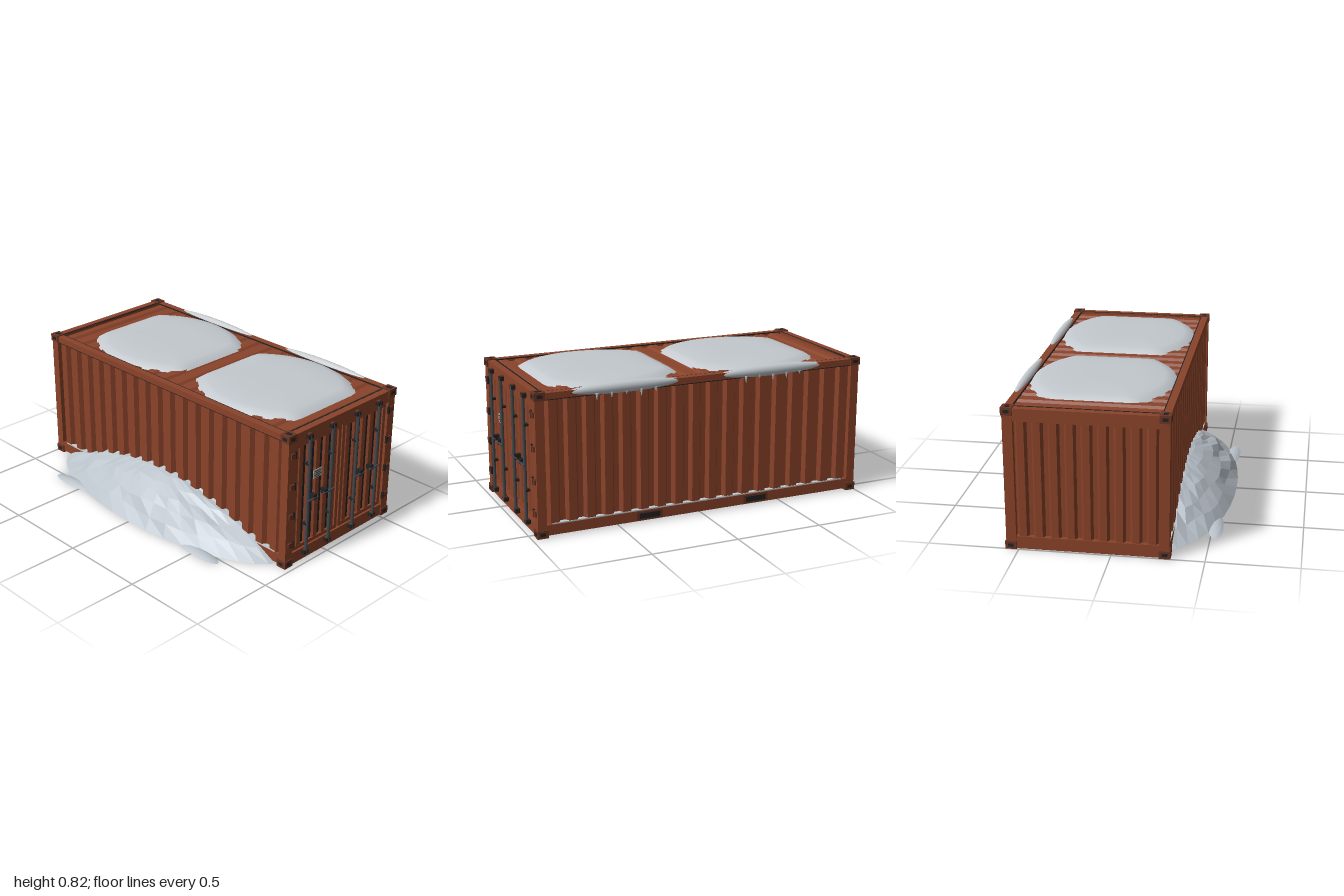
import * as THREE from 'three';

const mat = (color, opts = {}) => new THREE.MeshStandardMaterial({ color, ...opts });
const rust = mat(0x8a432a);
const rustDark = mat(0x6b3524);
const seal = mat(0x232223);
const steel = mat(0x43474b);
const plateGrey = mat(0xa9aaa2);
const snow = mat(0xc3c9ce, { side: THREE.DoubleSide });
const snowFlat = mat(0xb9c1c9, { side: THREE.DoubleSide, flatShading: true });

function add(parent, name, geometry, material, x = 0, y = 0, z = 0) {
  const mesh = new THREE.Mesh(geometry, material);
  mesh.name = name;
  mesh.position.set(x, y, z);
  parent.add(mesh);
  return mesh;
}
const box = (parent, name, m, w, h, d, x, y, z) =>
  add(parent, name, new THREE.BoxGeometry(w, h, d), m, x, y, z);

// Trapezoid-ribbed sheet: ribs repeat along x, stick out to +y, run along z; centred
function corrugated(length, run, count, depth, thick = 0.008) {
  const p = length / count, s = new THREE.Shape();
  s.moveTo(-length / 2, -depth - thick);
  s.lineTo(length / 2, -depth - thick);
  for (let i = count - 1; i >= 0; i--) {
    const u = -length / 2 + i * p;
    s.lineTo(u + p, -depth);
    s.lineTo(u + p * 0.86, -depth);
    s.lineTo(u + p * 0.72, 0);
    s.lineTo(u + p * 0.28, 0);
    s.lineTo(u + p * 0.14, -depth);
    s.lineTo(u, -depth);
  }
  return new THREE.ExtrudeGeometry(s, { depth: run, bevelEnabled: false }).translate(0, 0, -run / 2);
}
// Upright sheet turned to face outward along the given heading (0 = back)
const wallSheet = (length, height, count, depth, heading) =>
  corrugated(length, height, count, depth).rotateX(-Math.PI / 2).rotateY(heading);

// Mound made of scaled rings; outline(a) -> [x, z], height(s, a) -> y
function mound(outline, height, rings, segs, capped) {
  const pos = [0, height(0, 0), 0], idx = [];
  for (let r = 1; r <= rings; r++) for (let i = 0; i < segs; i++) {
    const a = (i / segs) * Math.PI * 2, s = r / rings, [x, z] = outline(a, s);
    pos.push(x * s, height(s, a), z * s);
  }
  const at = (r, i) => 1 + (r - 1) * segs + (i % segs);
  for (let i = 0; i < segs; i++) {
    idx.push(0, at(1, i + 1), at(1, i));
    for (let r = 1; r < rings; r++) {
      idx.push(at(r, i), at(r, i + 1), at(r + 1, i));
      idx.push(at(r, i + 1), at(r + 1, i + 1), at(r + 1, i));
    }
    if (capped && i > 0 && i < segs - 1) idx.push(at(rings, 0), at(rings, i), at(rings, i + 1));
  }
  const g = new THREE.BufferGeometry();
  g.setAttribute('position', new THREE.Float32BufferAttribute(pos, 3));
  g.setIndex(idx);
  g.computeVertexNormals();
  return g;
}

function buildFrame(c) {
  for (const sx of [-1, 1]) {
    for (const sz of [-1, 1]) {
      box(c, 'cornerPost', rust, 0.055, 0.72, 0.05, sx * 0.412, 0.4, sz * 0.957);
      for (const y of [0.022, 0.78]) {
        const g = new THREE.Group();
        g.name = 'cornerCasting';
        g.position.set(sx * 0.414, y, sz * 0.956);
        c.add(g);
        box(g, 'castingBlock', rustDark, 0.062, 0.044, 0.062, 0, 0, 0);
        box(g, 'endSlot', seal, 0.03, 0.018, 0.003, 0, 0, sz * 0.031);
        box(g, 'sideSlot', seal, 0.003, 0.018, 0.03, sx * 0.031, 0, 0);
        box(g, 'capSlot', seal, 0.024, 0.003, 0.034, 0, y > 0.4 ? 0.022 : -0.021, 0);
      }
    }
    // Long rails and fork pockets
    box(c, 'bottomSideRail', rust, 0.045, 0.058, 1.87, sx * 0.415, 0.041, 0);
    box(c, 'topSideRail', rust, 0.04, 0.035, 1.87, sx * 0.418, 0.778, 0);
    box(c, 'railShadow', seal, 0.012, 0.005, 1.87, sx * 0.43, 0.758, 0);
    box(c, 'roofSeam', seal, 0.012, 0.006, 1.87, sx * 0.398, 0.792, 0);
    for (const z of [0.335, -0.325]) {
      box(c, 'forkPocketRim', rustDark, 0.006, 0.05, 0.155, sx * 0.437, 0.04, z);
      box(c, 'forkPocket', seal, 0.004, 0.03, 0.125, sx * 0.44, 0.04, z);
    }
  }
  for (const sz of [-1, 1]) {
    box(c, 'endSill', rust, 0.78, 0.07, 0.045, 0, 0.037, sz * 0.955);
    box(c, 'endHeader', rust, 0.78, 0.07, 0.05, 0, 0.761, sz * 0.955);
    box(c, 'headerSeam', seal, 0.78, 0.006, 0.01, 0, 0.794, sz * 0.935);
  }
  box(c, 'floor', mat(0x1b2024), 0.82, 0.02, 1.9, 0, 0.035, 0);
}

function buildWalls(c) {
  for (const sx of [-1, 1])
    add(c, 'sideWall', wallSheet(1.87, 0.7, 18, 0.025, -sx * Math.PI / 2), rust, sx * 0.433, 0.415, 0);
  add(c, 'backWall', wallSheet(0.78, 0.67, 9, 0.022, 0), rust, 0, 0.4, -0.972);
  add(c, 'roof', corrugated(1.88, 0.8, 18, 0.012).rotateY(Math.PI / 2), rust, 0, 0.788, 0);
}

function buildDoors(c) {
  const up = new THREE.CylinderGeometry(0.0095, 0.0095, 0.72, 12);
  const across = new THREE.CylinderGeometry(0.006, 0.006, 0.09, 10).rotateZ(Math.PI / 2);
  for (const s of [-1, 1]) {
    const d = new THREE.Group();
    d.name = s < 0 ? 'rightDoor' : 'leftDoor';
    d.position.x = s * 0.19;
    c.add(d);
    // Gasket, ribbed panel and flat border
    box(d, 'doorGasket', seal, 0.384, 0.66, 0.02, 0, 0.402, 0.95);
    add(d, 'doorPanel', wallSheet(0.34, 0.63, 5, 0.014, Math.PI), rust, 0, 0.402, 0.972);
    for (const k of [-1, 1]) {
      box(d, 'doorStile', rust, 0.022, 0.645, 0.03, k * 0.174, 0.402, 0.958);
      box(d, 'doorRail', rust, 0.37, 0.022, 0.03, 0, 0.402 + k * 0.312, 0.958);
    }
    // Hinges
    for (const y of [0.135, 0.315, 0.495, 0.68]) {
      box(d, 'hingeLeaf', rustDark, 0.034, 0.032, 0.016, s * 0.216, y, 0.982);
      add(d, 'hingePin', new THREE.CylinderGeometry(0.008, 0.008, 0.042, 10), seal, s * 0.198, y, 0.984);
    }
    // Lock rods with end cams, guides and handles
    for (const k of [-1, 1]) {
      const x = s * 0.0055 + k * 0.0925;
      add(d, 'lockRod', up, steel, x, 0.405, 0.996);
      for (const y of [0.052, 0.757]) {
        box(d, 'camKeeper', seal, 0.034, 0.022, 0.026, x, y, 0.99);
        box(d, 'camLug', rustDark, 0.022, 0.034, 0.014, x, y, 0.988);
      }
      for (const y of [0.23, 0.595]) box(d, 'rodGuide', seal, 0.028, 0.012, 0.024, x, y, 0.986);
      add(d, 'lockHandle', across, steel, x - k * 0.025, 0.375, 1.006);
      box(d, 'handleCatch', seal, 0.024, 0.03, 0.034, x - k * 0.047, 0.38, 0.992);
    }
  }
  // Data plate
  box(c, 'dataPlate', plateGrey, 0.068, 0.05, 0.004, -0.193, 0.498, 0.975);
  for (let i = 0; i < 4; i++)
    box(c, 'plateLine', seal, i % 2 ? 0.036 : 0.052, 0.003, 0.002, -0.193, 0.514 - i * 0.011, 0.978);
}

function buildSnow(root) {
  // Roof sheets: an ellipse with its two ends cut straight
  const padOutline = (a) => {
    const x = Math.cos(a), z = Math.sin(a);
    const r = Math.min(1 / Math.hypot(x / 0.408, z / 0.48), 0.385 / Math.max(Math.abs(z), 1e-4));
    return [x * r, z * r];
  };
  const padHeight = (s) => (s >= 1 ? 0.782 : 0.798 + 0.023 * (1 - s ** 4));
  for (const [z, dz] of [[-0.42, -0.43], [0.455, 0.455]]) {
    add(root, 'roofSnow', mound(padOutline, padHeight, 12, 64), snow, 0.133, 0, z);
    // Overhang on the side edge with a few drips
    const lip = add(root, 'snowOverhang', new THREE.SphereGeometry(1, 24, 12), snow, 0.555, 0.783, dz);
    lip.scale.set(0.029, 0.032, 0.335);
    for (let i = -2; i <= 2; i++) {
      const len = 0.035 + 0.012 * Math.sin(i * 2.3 + z * 9);
      add(root, 'snowDrip', new THREE.ConeGeometry(0.009, len, 6).rotateX(Math.PI), snow,
        0.574, 0.768 - len / 2, dz + i * 0.085);
    }
  }
  // Snow lying along the lower side ledges
  for (const x of [-0.292, 0.547]) box(root, 'ledgeSnow', snow, 0.032, 0.008, 1.8, x, 0.073, -0.015);

  // Drift banked against the side
  const drift = (a, s) => {
    const w = 1 + (s < 1 ? 0.035 * Math.sin(a * 7 + s * 23) : 0);
    return [0.365 * Math.cos(a) * w, 0.92 * Math.sin(a) * w];
  };
  const driftHeight = (s, a) => s >= 1 ? 0.002
    : 0.002 + 0.245 * (1 - s * s) ** 1.05 + 0.009 * s * Math.sin(a * 11 + s * 17);
  add(root, 'snowDrift', mound(drift, driftHeight, 7, 40, true), snowFlat, -0.225, 0, 0);
  // Low lumps at the foot of the drift
  for (const [x, z, turn] of [[-0.515, -0.55, 0.08], [-0.525, 0.5, -0.06]]) {
    const lump = add(root, 'driftLump', mound((a) => [0.045 * Math.cos(a), 0.18 * Math.sin(a)],
      (s) => 0.002 + 0.016 * (1 - s * s), 3, 18, true), snowFlat, x, 0, z);
    lump.rotation.y = turn;
  }
}

export function createModel() {
  const root = new THREE.Group();
  root.name = 'snowyShippingContainer';
  const container = new THREE.Group();
  container.name = 'container';
  container.position.set(0.128, 0, -0.015);
  root.add(container);
  buildFrame(container);
  buildWalls(container);
  buildDoors(container);
  buildSnow(root);
  return root;
}
